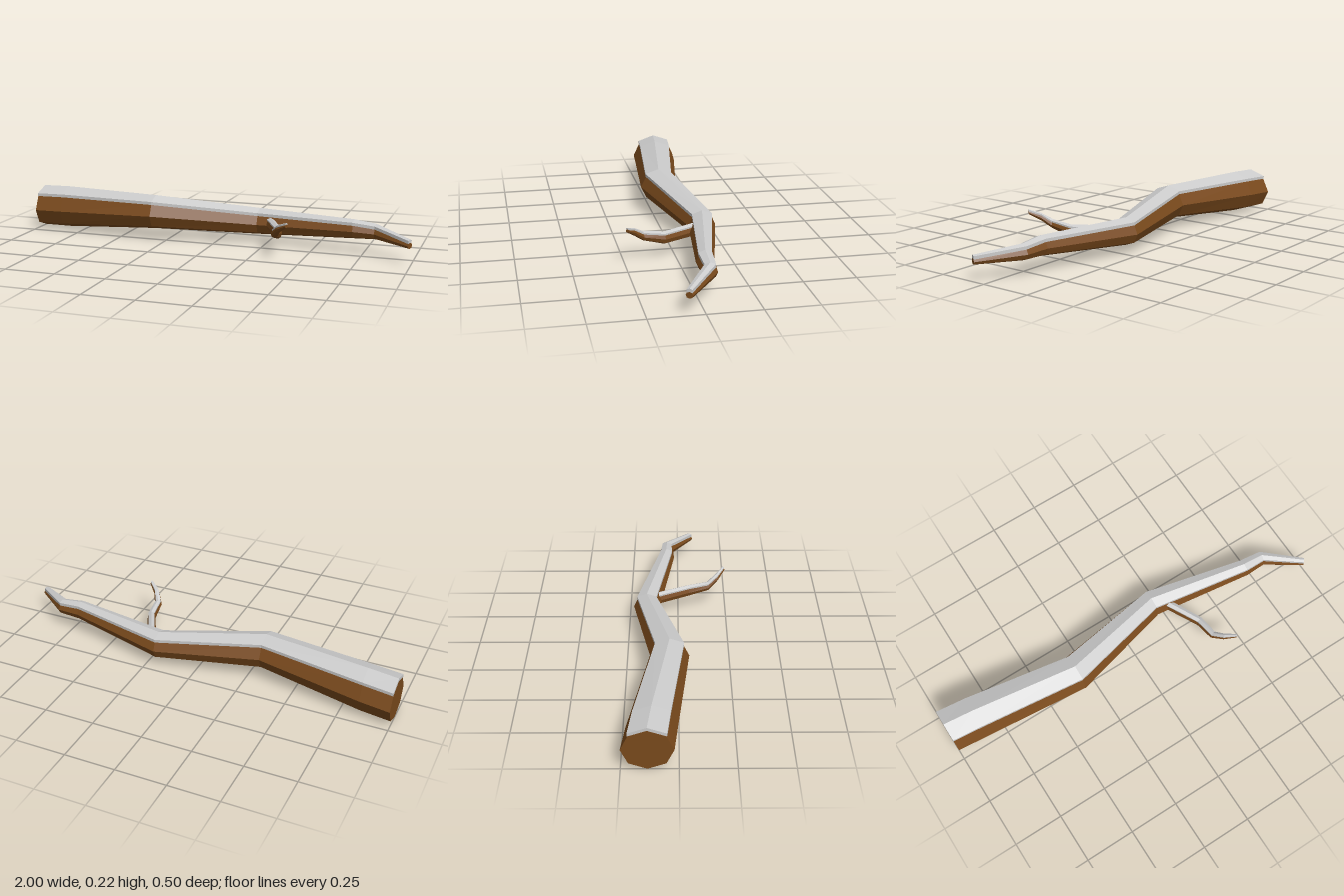
import * as THREE from 'three';

const SIDES = 8;

// Sections: [x, y, z, half width, half height, yaw in degrees (0 = along +x, 90 = along +z)]
const TRUNK = [
  [-1.00, 0.100, -0.135, 0.115, 0.100, 0],
  [-0.85, 0.105, -0.118, 0.113, 0.101, 0],
  [-0.32, 0.128, -0.042, 0.093, 0.079, 0],
  [0.20, 0.092, -0.160, 0.067, 0.060, 0],
  [0.70, 0.111, -0.062, 0.042, 0.040, 0],
  [0.81, 0.106, -0.059, 0.034, 0.031, 10],
  [0.99, 0.088, 0.070, 0.017, 0.015, 30],
];
const TWIG = [
  [0.245, 0.095, -0.150, 0.025, 0.030, 65],
  [0.280, 0.096, -0.085, 0.022, 0.029, 65],
  [0.352, 0.095, 0.055, 0.020, 0.027, 75],
  [0.363, 0.116, 0.157, 0.018, 0.019, 75],
  [0.395, 0.151, 0.205, 0.014, 0.015, 50],
  [0.442, 0.178, 0.242, 0.008, 0.008, 40],
];

// Full ring of a branch section
const barkRing = ([, , , w, h]) => Array.from({ length: SIDES }, (_, i) => {
  const a = (i / SIDES) * Math.PI * 2;
  return [w * Math.cos(a), h * Math.sin(a)];
});

// Thin slab resting on the two uppermost facets
const snowRing = (thickness) => ([, , , w, h]) => {
  const top = [135, 90, 45].map((d) => {
    const a = THREE.MathUtils.degToRad(d);
    return [w * Math.cos(a) * 1.04, h * Math.sin(a)];
  });
  return [...top, ...top.map(([u, v]) => [u, v + thickness]).reverse()];
};

// Joins the cross-sections into a capped, faceted solid
function loft(sections, ringOf) {
  const rings = sections.map((s) => {
    const t = THREE.MathUtils.degToRad(s[5]);
    return ringOf(s).map(([u, v]) => [s[0] - u * Math.sin(t), s[1] + v, s[2] + u * Math.cos(t)]);
  });
  const n = rings[0].length;
  const pos = [];
  const tri = (a, b, c) => pos.push(...a, ...b, ...c);
  for (let k = 0; k < rings.length - 1; k++) {
    for (let i = 0; i < n; i++) {
      const j = (i + 1) % n;
      tri(rings[k][i], rings[k + 1][i], rings[k + 1][j]);
      tri(rings[k][i], rings[k + 1][j], rings[k][j]);
    }
  }
  const first = rings[0];
  const last = rings[rings.length - 1];
  for (let i = 2; i < n; i++) {
    const j = (i + 1) % n;
    tri(first[1], first[i], first[j]);
    tri(last[1], last[j], last[i]);
  }
  const geo = new THREE.BufferGeometry();
  geo.setAttribute('position', new THREE.Float32BufferAttribute(pos, 3));
  geo.computeVertexNormals();
  return geo;
}

export function createModel() {
  const bark = new THREE.MeshStandardMaterial({ color: 0x7a4a1c, flatShading: true });
  const snow = new THREE.MeshStandardMaterial({ color: 0xcccccc, flatShading: true });
  const group = new THREE.Group();
  group.name = 'snowyBranch';
  const add = (name, geometry, material) => {
    const mesh = new THREE.Mesh(geometry, material);
    mesh.name = name;
    group.add(mesh);
  };

  // Main branch and its snow
  add('mainBranch', loft(TRUNK, barkRing), bark);
  add('mainSnow', loft(TRUNK, snowRing(0.015)), snow);

  // Side twig and its snow
  add('sideTwig', loft(TWIG, barkRing), bark);
  add('twigSnow', loft(TWIG, snowRing(0.008)), snow);

  return group;
}
